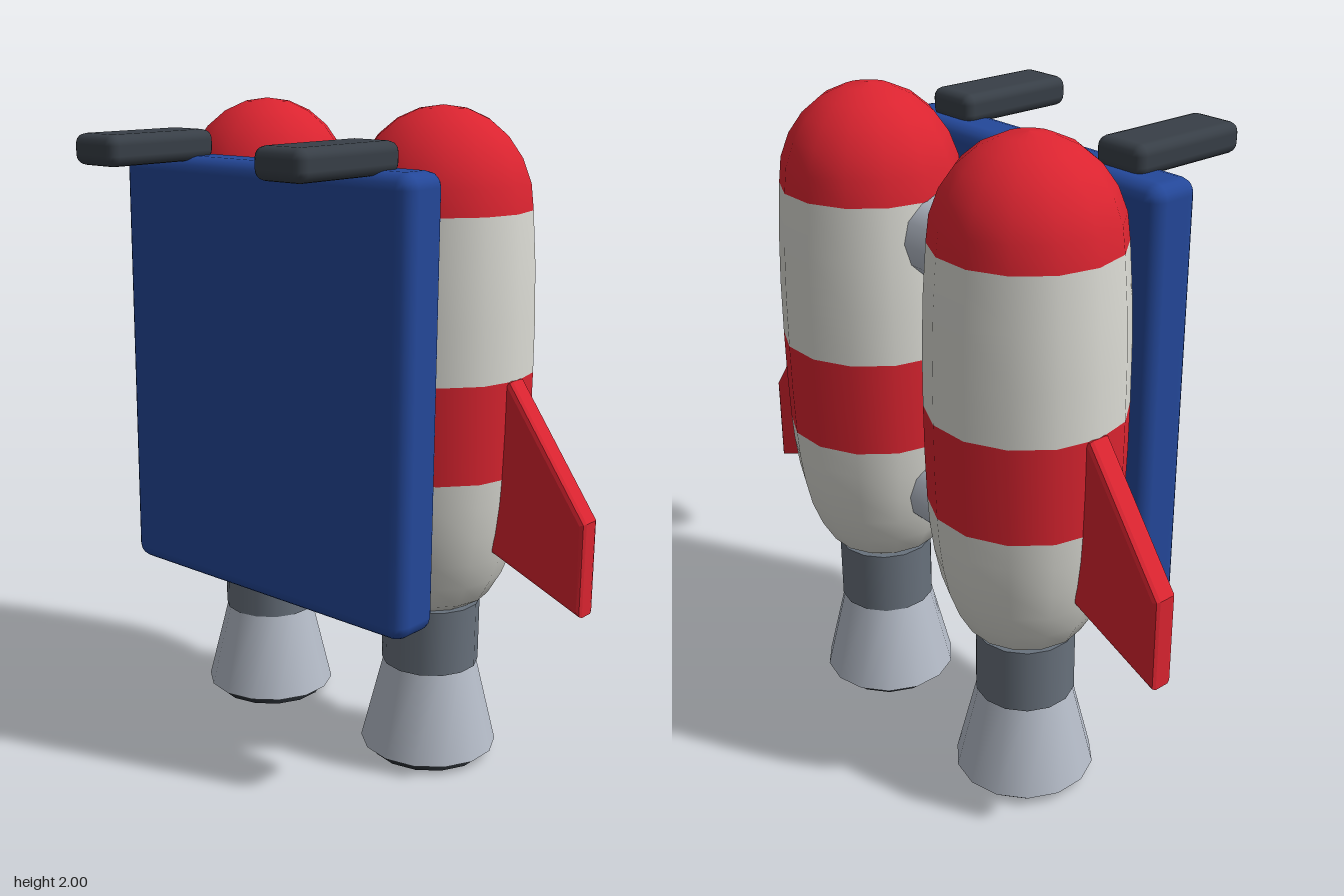
import * as THREE from 'three';
import { RoundedBoxGeometry } from 'three/addons/geometries/RoundedBoxGeometry.js';

const SIDES = 14;
const TANK_X = 0.345, TANK_Z = -0.212;

const paint = (name, color) => {
  const m = new THREE.MeshStandardMaterial({ color });
  m.name = name;
  return m;
};

function part(name, geometry, material, x = 0, y = 0, z = 0) {
  const mesh = new THREE.Mesh(geometry, material);
  mesh.name = name;
  mesh.position.set(x, y, z);
  return mesh;
}

// Turned section from [radius, height] pairs, listed bottom to top
function turned(points) {
  const profile = points.map(([r, y]) => new THREE.Vector2(r, y));
  return new THREE.LatheGeometry(profile, SIDES, Math.PI / 2);
}

const drum = (rTop, rBottom, y0, y1) =>
  new THREE.CylinderGeometry(rTop, rBottom, y1 - y0, SIDES).translate(0, (y0 + y1) / 2, 0);

export function createModel() {
  const red = paint('red', 0xdb2430);
  const white = paint('offWhite', 0xdbdbd4);
  const blue = paint('blue', 0x24489a);
  const dark = paint('charcoal', 0x383f47);
  const black = paint('nozzleBlack', 0x252a2f);
  const steel = paint('steel', 0x68717c);
  const silver = paint('silver', 0xb5bcc8);
  const gold = paint('gold', 0xcaa632);

  const model = new THREE.Group();
  model.name = 'rocketPack';

  // Tank sections: rounded bottom, painted band, upper body, domed nose
  const bottom = turned([[0, 0.5], [0.12, 0.505], [0.175, 0.54], [0.215, 0.61],
    [0.245, 0.69], [0.264, 0.78], [0.275, 0.87], [0.28, 0.95]]);
  const band = turned([[0.28, 0.95], [0.284, 1.09], [0.285, 1.24]]);
  const body = turned([[0.285, 1.24], [0.284, 1.4], [0.278, 1.56], [0.267, 1.71]]);
  const dome = [];
  for (let i = 0; i <= 6; i++) {
    const a = (i / 6) * Math.PI / 2;
    dome.push([i === 6 ? 0 : 0.267 * Math.cos(a), 1.71 + 0.29 * Math.sin(a)]);
  }
  const nose = turned(dome);

  // Swept fin with softened edges, drawn for the +x side
  const finShape = new THREE.Shape([[0.58, 0.72], [0.895, 0.595], [0.895, 0.875], [0.63, 1.242], [0.58, 1.242]]
    .map(([x, y]) => new THREE.Vector2(x, y)));
  const fin = new THREE.ExtrudeGeometry(finShape, {
    depth: 0.045, bevelThickness: 0.015, bevelSize: 0.015, bevelOffset: -0.015, bevelSegments: 2,
  }).translate(0, 0, -0.0225);

  for (const side of [-1, 1]) {
    const rocket = new THREE.Group();
    rocket.name = side > 0 ? 'leftRocket' : 'rightRocket';
    rocket.position.set(side * TANK_X, 0, TANK_Z);
    rocket.add(
      part('tankBottom', bottom, white),
      part('tankBand', band, red),
      part('tankBody', body, white),
      part('noseCone', nose, red),
      part('neck', drum(0.15, 0.15, 0.305, 0.51), steel),
      part('nozzle', drum(0.145, 0.212, 0.03, 0.305), silver),
      part('nozzleOpening', drum(0.178, 0.178, 0, 0.06), black),
    );
    model.add(rocket);

    // A half turn about y mirrors the symmetric fin
    const finMesh = part('fin', fin, red, 0, 0, TANK_Z);
    if (side < 0) finMesh.rotation.y = Math.PI;
    model.add(finMesh);

    // Shoulder strap reaching forward over the panel
    model.add(part('shoulderStrap', new RoundedBoxGeometry(0.175, 0.09, 0.405, 2, 0.03),
      dark, side * 0.355, 1.875, 0.295));
  }

  // Back panel
  model.add(part('backPanel', new RoundedBoxGeometry(1.11, 1.31, 0.17, 2, 0.045), blue, 0, 1.19, 0.125));

  // Cross tubes joining the tanks
  for (const y of [0.78, 1.6]) {
    const tube = new THREE.CylinderGeometry(0.125, 0.125, 0.5, 12).rotateZ(Math.PI / 2);
    model.add(part('crossTube', tube, silver, 0, y, -0.165));
  }

  // Round fitting on the rear of the panel
  const knob = new THREE.CylinderGeometry(0.107, 0.107, 0.07, SIDES).rotateX(Math.PI / 2);
  model.add(part('rearFitting', knob, gold, 0, 1.68, 0.02));

  return model;
}
